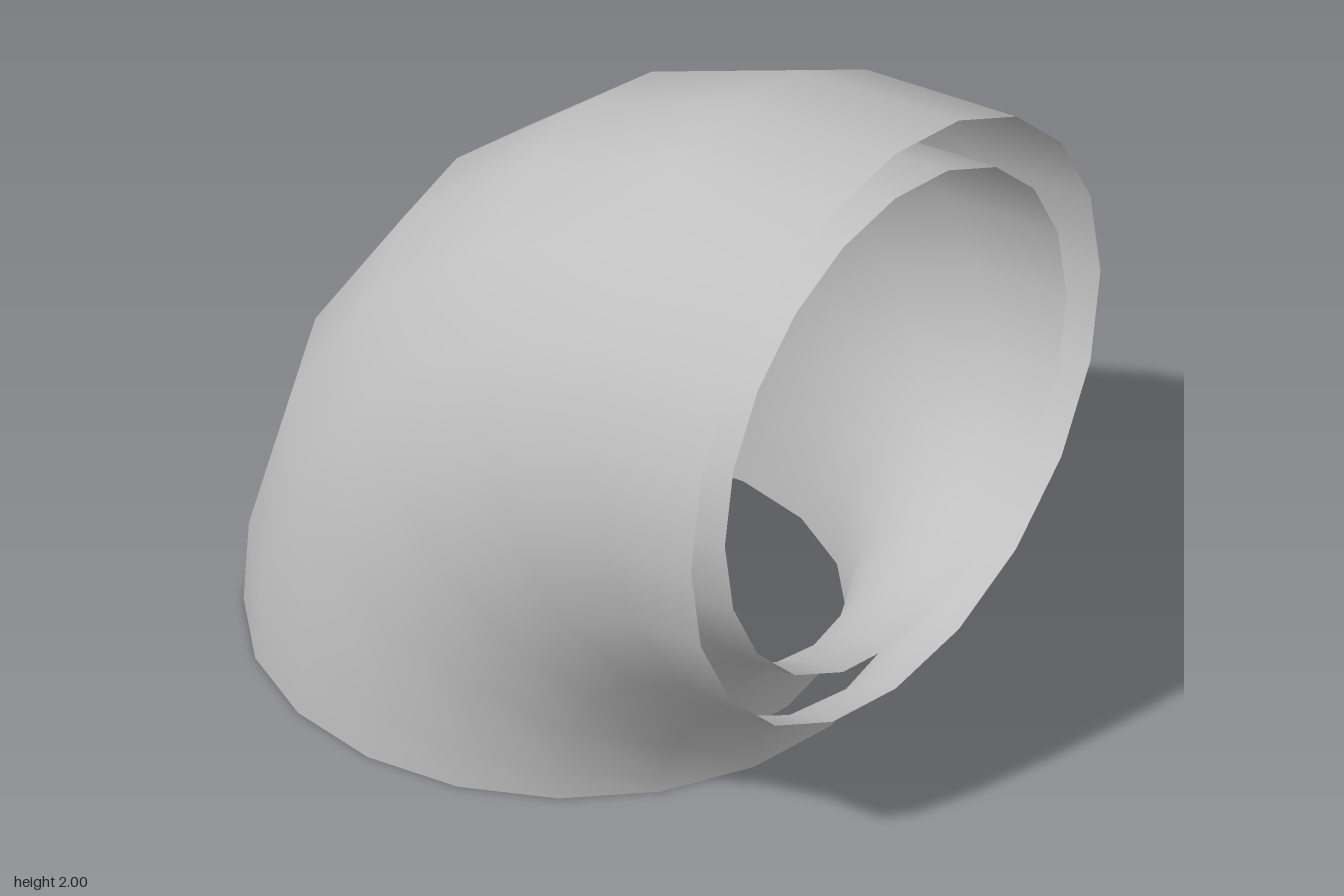
import * as THREE from 'three';

const BEND = 1.113; // bend radius, turning about the z axis through x = 1, y = 0
const SIDES = 20;
// bend angles: a half step at the foot, then five equal steps
const STEP = Math.PI / 2 / 5.5;
const ANGLES = [0, 0.5, 1.5, 2.5, 3.5, 4.5, 5.5].map((n) => n * STEP);

// open quarter-bend shell with smooth normals
function bentShell(radius) {
  const positions = [], normals = [], index = [];
  ANGLES.forEach((t, i) => {
    const dx = -Math.cos(t), dy = Math.sin(t);
    for (let j = 0; j <= SIDES; j++) {
      const a = (j / SIDES) * Math.PI * 2;
      const c = Math.cos(a), s = Math.sin(a);
      const reach = BEND + radius * c;
      positions.push(1 + reach * dx, reach * dy, radius * s);
      normals.push(c * dx, c * dy, s);
      if (i < ANGLES.length - 1 && j < SIDES) {
        const p = i * (SIDES + 1) + j, q = p + SIDES + 1;
        index.push(p, p + 1, q, p + 1, q + 1, q);
      }
    }
  });
  const geometry = new THREE.BufferGeometry();
  geometry.setAttribute('position', new THREE.Float32BufferAttribute(positions, 3));
  geometry.setAttribute('normal', new THREE.Float32BufferAttribute(normals, 3));
  geometry.setIndex(index);
  return geometry;
}

export function createModel() {
  const group = new THREE.Group();
  group.name = 'pipeElbow';
  const grey = new THREE.MeshStandardMaterial({ color: 0xc0c0c0, side: THREE.DoubleSide });
  grey.name = 'pipe grey';

  // outer wall and inner wall, with an open gap between them
  for (const [name, radius] of [['outerWall', 0.887], ['innerWall', 0.74]]) {
    const mesh = new THREE.Mesh(bentShell(radius), grey);
    mesh.name = name;
    group.add(mesh);
  }
  return group;
}
